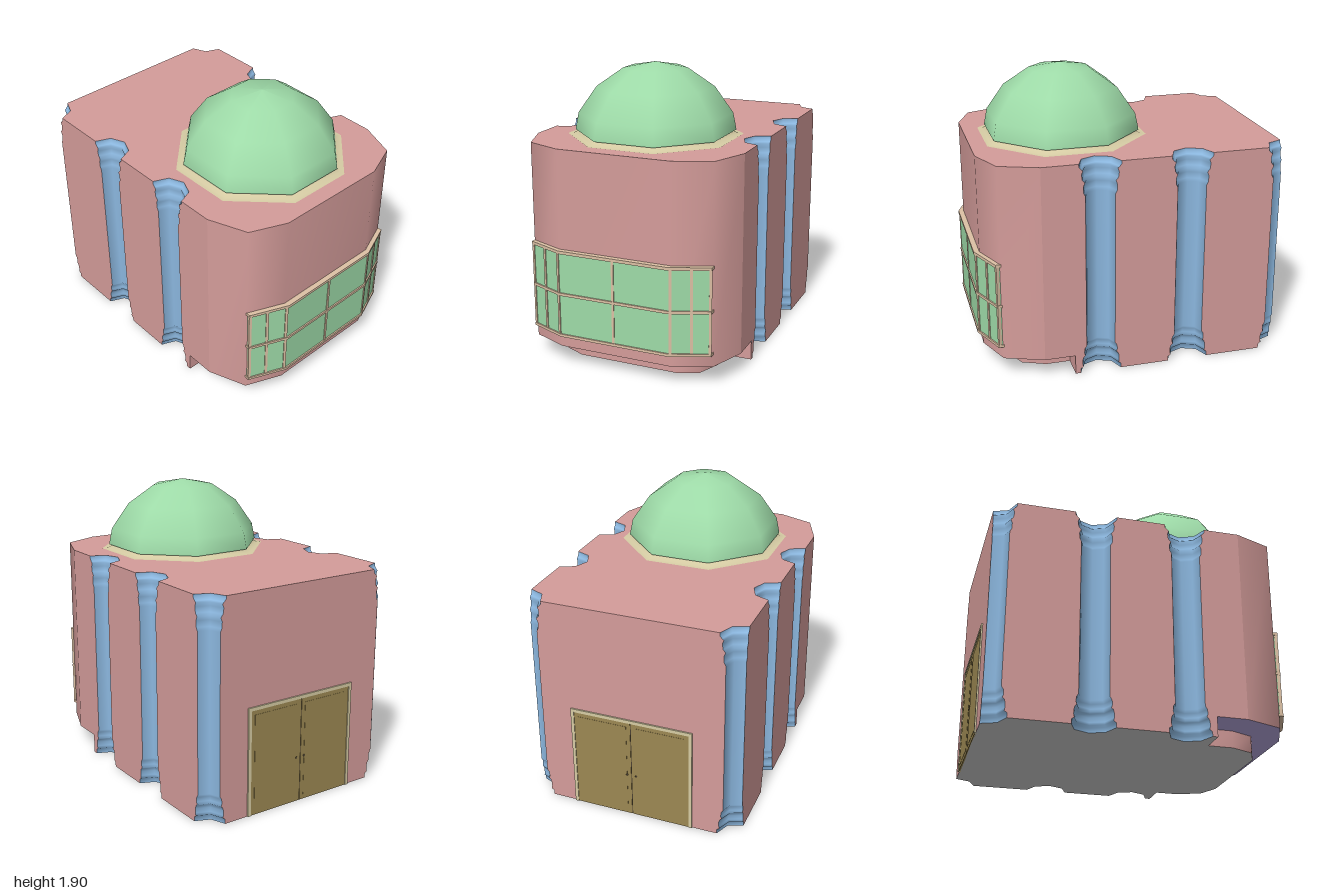
import * as THREE from 'three';

const W = 0.71, H = 1.43, BACK = -0.99, LIP = 0.13;
const COLUMN_Z = [BACK, -0.345, 0.25];
// column radius and height, from base to capital
const PROFILE = [
  [0.135, 0], [0.135, 0.03], [0.118, 0.042], [0.122, 0.06], [0.122, 0.09], [0.115, 0.112],
  [0.104, 0.122], [0.11, 0.14], [0.108, 0.17], [0.095, 0.19], [0.095, 1.22], [0.106, 1.24],
  [0.108, 1.28], [0.098, 1.305], [0.114, 1.325], [0.119, 1.36], [0.11, 1.385], [0.122, 1.395],
  [0.135, 1.41], [0.135, H],
];

const mat = (color) => new THREE.MeshStandardMaterial({ color, side: THREE.DoubleSide });
const PINK = mat(0xd49c9a), BLUE = mat(0x8cb8e0), GREEN = mat(0x9edba8), CREAM = mat(0xd6cca4);
const PEACH = mat(0xdcc0a4), WOOD = mat(0x9c8852), LILAC = mat(0xb4a6dc), GREY = mat(0xcccccc), DARK = mat(0x4a4030);

const mirrored = (half) => [...half, ...half.map(([x, z]) => [-x, z]).reverse()];
const FRONT = [[W, 0.62], [0.615, 0.87], [0.38, 0.965]];
const BASE = [[0.54, 0.42], [0.54, 0.58], [0.475, 0.73], [0.34, 0.79]];

const shapeOf = (pts) => new THREE.Shape(pts.map(([x, y]) => new THREE.Vector2(x, y)));

// vertical or sloping strip between two outlines of equal length
function strip(low, yLow, high, yHigh) {
  const pos = [], idx = [];
  low.forEach(([x, z], i) => {
    pos.push(x, yLow, z, high[i][0], yHigh, high[i][1]);
    if (i) {
      const a = 2 * i - 2;
      idx.push(a, a + 1, a + 2, a + 1, a + 3, a + 2);
    }
  });
  const g = new THREE.BufferGeometry();
  g.setAttribute('position', new THREE.Float32BufferAttribute(pos, 3));
  g.setIndex(idx);
  g.computeVertexNormals();
  return g;
}

// plan polygon raised from y0 to y1
function prism(pts, y0, y1) {
  return new THREE.ExtrudeGeometry(shapeOf(pts), { depth: y1 - y0, bevelEnabled: false })
    .rotateX(Math.PI / 2).translate(0, y1, 0);
}

// plan of the building, notched where the columns stand
function plan(front) {
  const half = [];
  COLUMN_Z.forEach((zc, i) => {
    for (let k = i ? -2 : 0; k <= 2; k++) {
      const a = k * Math.PI / 4;
      half.push([W - 0.135 * Math.cos(a), zc + 0.135 * Math.sin(a)]);
    }
  });
  return mirrored([...half, ...front]);
}

// octagonal lathe whose profile gives the distance to the flat sides
function octagon(profile) {
  const k = 1 / Math.cos(Math.PI / 8);
  return new THREE.LatheGeometry(profile.map(([r, y]) => new THREE.Vector2(r * k, y)), 8, Math.PI / 8);
}

export function createModel() {
  const model = new THREE.Group();
  const add = (name, geometry, material, x = 0, y = 0, z = 0) => {
    const m = new THREE.Mesh(geometry, material);
    m.name = name;
    m.position.set(x, y, z);
    model.add(m);
    return m;
  };
  const box = (name, w, h, d, material, x, y, z) => add(name, new THREE.BoxGeometry(w, h, d), material, x, y, z);

  // roof and floor
  add('roof', new THREE.ShapeGeometry(shapeOf(plan(FRONT).map(([x, z]) => [x, -z]))).rotateX(-Math.PI / 2), PINK, 0, H, 0);
  add('floor', new THREE.ShapeGeometry(shapeOf(plan([[W, 0.42], ...BASE]))).rotateX(Math.PI / 2), GREY);

  // curved front, recessed base and the sloping soffit between them
  const outer = mirrored([[W, 0.42], ...FRONT]);
  add('frontWall', strip(mirrored(FRONT), LIP, mirrored(FRONT), H), PINK);
  add('recessedBase', strip(mirrored(BASE), 0, mirrored(BASE), 0.11), PINK);
  add('soffit', strip(mirrored(BASE), 0.11, outer, LIP), LILAC);

  // flat walls cut to the column profile
  const rising = (c) => PROFILE.map(([r, y]) => [c + r, y]);
  const falling = (c) => PROFILE.map(([r, y]) => [c - r, y]).reverse();
  const [z0, z1, z2] = COLUMN_Z;
  const panels = [
    [...rising(z0), ...falling(z1)],
    [...rising(z1), ...falling(z2)],
    [...rising(z2), [0.62, H], [0.62, LIP], [0.42, LIP], [0.42, 0]],
  ];
  for (const s of [1, -1]) {
    for (const p of panels) {
      const pts = p.map(([z, y]) => [-s * z, y]);
      add('sideWall', new THREE.ShapeGeometry(shapeOf(pts)).rotateY(s * Math.PI / 2), PINK, s * W, 0, 0);
    }
    box('baseReturn', W - 0.54, 0.125, 0.004, PINK, s * (W + 0.54) / 2, 0.0625, 0.418);

    // columns: the inward half of an octagonal shaft, a quarter at the back corners
    COLUMN_Z.forEach((z, i) => {
      const length = i ? Math.PI : Math.PI / 2;
      const start = s < 0 ? 0 : 2 * Math.PI - length;
      const pts = PROFILE.map(([r, y]) => new THREE.Vector2(r, y));
      add('column', new THREE.LatheGeometry(pts, i ? 4 : 2, start, length), BLUE, s * W, 0, z);
    });
  }
  const back = [...rising(-W), ...falling(W)];
  add('backWall', new THREE.ShapeGeometry(shapeOf(back.map(([x, y]) => [-x, y]))).rotateY(Math.PI), PINK, 0, 0, BACK);

  // dome on its thin collar
  add('domeCollar', octagon([[0.525, H + 0.002], [0.495, H + 0.004], [0.465, 1.45], [0.465, 1.462]]), CREAM, 0, 0, 0.335);
  add('domeRim', octagon([[0.46, 1.457], [0.48, 1.458]]), GREEN, 0, 0, 0.335);
  add('dome', octagon([[0.48, 1.458], [0.479, 1.47], [0.46, 1.57], [0.35, 1.74], [0.19, 1.86], [0, 1.9]]), GREEN, 0, 0, 0.335);

  // wrap-around window
  const frame = mirrored([[0.617, 0.86], [0.617, 0.9], [0.372, 1]]);
  const glass = mirrored([[0.609, 0.86], [0.609, 0.894], [0.37, 0.991]]);
  add('windowGlass', prism(glass, 0.22, 0.78), GREEN);
  [[0.21, 0.228], [0.49, 0.508], [0.768, 0.788]].forEach(([a, b]) => add('windowRail', prism(frame, a, b), PEACH));
  box('windowBar', 0.016, 0.56, 0.02, PEACH, 0, 0.5, 0.986);
  for (const s of [1, -1]) {
    for (const x of [0.38, 0.5, 0.606]) {
      const z = 0.996 - (x - 0.372) * 0.41;
      box('windowBar', 0.018, 0.56, 0.02, PEACH, s * x, 0.5, z - 0.01).rotation.y = s * 0.39;
    }
  }

  // double door in the back wall
  box('doorLintel', 0.82, 0.022, 0.02, CREAM, 0, 0.701, -0.99);
  for (const s of [1, -1]) {
    box('doorJamb', 0.022, 0.69, 0.02, CREAM, s * 0.399, 0.345, -0.99);
    box('doorLeaf', 0.385, 0.69, 0.01, WOOD, s * 0.1955, 0.345, -0.99);
    box('doorPanel', 0.33, 0.63, 0.013, WOOD, s * 0.1955, 0.345, -0.99);
    add('doorKnob', new THREE.SphereGeometry(0.01, 10, 8), DARK, s * 0.032, 0.3, -0.99);
  }
  box('doorSeam', 0.006, 0.69, 0.004, DARK, 0, 0.345, -0.99);
  return model;
}
